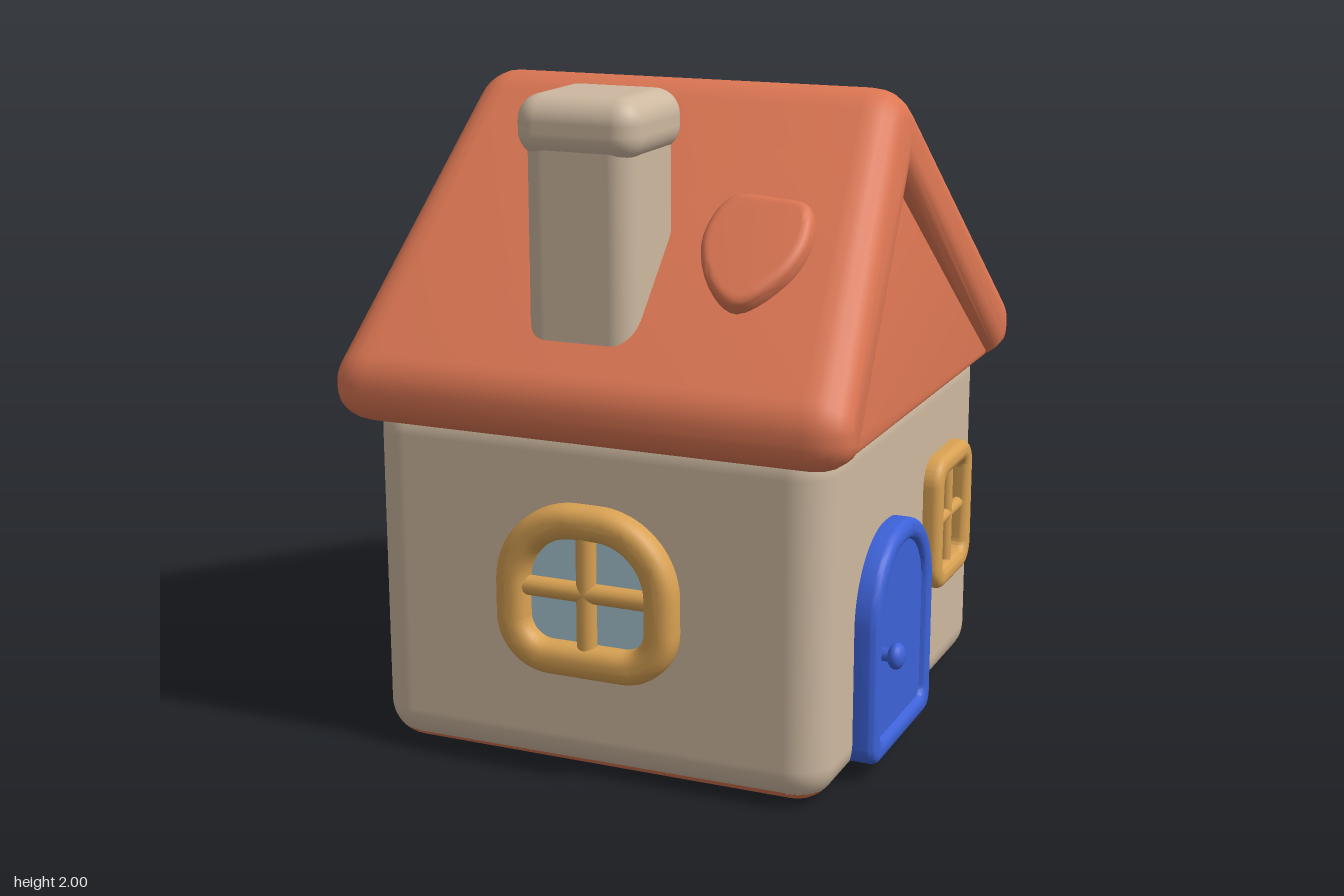
import * as THREE from 'three';
import { toCreasedNormals } from 'three/addons/utils/BufferGeometryUtils.js';
import { RoundedBoxGeometry } from 'three/addons/geometries/RoundedBoxGeometry.js';

const paint = (name, color) => {
  const m = new THREE.MeshStandardMaterial({ color });
  m.name = name;
  return m;
};
const clay = paint('terracotta', 0xdc7653);
const plaster = paint('plaster', 0xcdb8a0);
const wood = paint('honey wood', 0xd8a153);
const blue = paint('door blue', 0x3d62d8);
const glass = paint('pale glass', 0xaac6d2);

const CX = -0.02; // middle of the house body in x

function add(parent, name, geometry, material, x = 0, y = 0, z = 0) {
  const mesh = new THREE.Mesh(geometry, material);
  mesh.name = name;
  mesh.position.set(x, y, z);
  parent.add(mesh);
  return mesh;
}

// Centred rounded outline with separate top and bottom corner radii
function outline(w, h, rt, rb, Type = THREE.Shape) {
  const s = new Type(), x = w / 2, y = h / 2, q = Math.PI / 2;
  s.moveTo(-x + rb, -y);
  s.absarc(x - rb, -y + rb, rb, -q, 0);
  s.absarc(x - rt, y - rt, rt, 0, q);
  s.absarc(-x + rt, y - rt, rt, q, 2 * q);
  s.absarc(-x + rb, -y + rb, rb, 2 * q, 3 * q);
  return s;
}

// Polygon [x, y, cornerCut] with softened corners
function softPolygon(points) {
  const s = new THREE.Shape(), n = points.length;
  points.forEach(([x, y, r], i) => {
    const p = new THREE.Vector2(x, y);
    const toward = (q) => new THREE.Vector2(q[0], q[1]).sub(p).setLength(r).add(p);
    const a = r ? toward(points[(i + n - 1) % n]) : p;
    if (i) s.lineTo(a.x, a.y); else s.moveTo(a.x, a.y);
    if (r) {
      const b = toward(points[(i + 1) % n]);
      s.quadraticCurveTo(x, y, b.x, b.y);
    }
  });
  s.closePath();
  return s;
}

// Soft extrusion spanning z = 0 to depth
function puff(shape, depth, bevel, { offset = -bevel, round = bevel, segs = 10 } = {}) {
  const g = new THREE.ExtrudeGeometry(shape, {
    depth: depth - 2 * round, bevelThickness: round, bevelSize: bevel,
    bevelOffset: offset, bevelSegments: 5, curveSegments: segs,
  });
  return g.translate(0, 0, round);
}

// Ridge-wise extrusion whose half length shrinks with height
function ridgeSolid(shape, half, slope, bevel, options) {
  const g = puff(shape, 2 * half, bevel, options).translate(0, 0, -half).rotateY(Math.PI / 2);
  const p = g.attributes.position;
  for (let i = 0; i < p.count; i++) {
    const scale = 1 - slope * Math.max(0, p.getY(i) - 1.15) / half;
    p.setX(i, p.getX(i) * scale);
  }
  return toCreasedNormals(g, 0.75);
}

// Framed window with crossed bars; local z = 0 lies 0.04 inside the wall
function makeWindow(name, w, h, rt, rb, t, bar, depth, glazed) {
  const g = new THREE.Group();
  g.name = name;
  const ring = outline(w, h, rt, rb);
  const inner = [w - 2 * t, h - 2 * t, Math.max(rt - t, 0.03), Math.max(rb - t, 0.03)];
  ring.holes.push(outline(...inner, THREE.Path));
  add(g, 'windowFrame', toCreasedNormals(puff(ring, depth, t * 0.4), 0.7), wood);
  const z = depth - bar - 0.015;
  add(g, 'uprightBar', new THREE.CylinderGeometry(bar, bar, h - t, 12), wood, 0, 0, z);
  add(g, 'crossBar', new THREE.CylinderGeometry(bar, bar, w - t, 12).rotateZ(Math.PI / 2), wood, 0, 0, z);
  if (glazed) {
    const pane = outline(w - t, h - t, rt - t / 2, rb - t / 2);
    add(g, 'pane', new THREE.ExtrudeGeometry(pane, { depth: 0.008, bevelEnabled: false }), glass, 0, 0, 0.038);
  }
  return g;
}

export function createModel() {
  const house = new THREE.Group();
  house.name = 'cottage';

  // Walls, with the underside in roof colour
  const walls = new RoundedBoxGeometry(1.44, 1.1, 1.47, 6, 0.12).translate(0, 0.55, 0);
  const pos = walls.attributes.position, upper = [], lower = [];
  for (let i = 0; i < pos.count; i += 3) {
    const mid = (pos.getY(i) + pos.getY(i + 1) + pos.getY(i + 2)) / 3;
    (mid < 0.04 ? lower : upper).push(i, i + 1, i + 2);
  }
  walls.clearGroups();
  const order = new Uint32Array(pos.count);
  order.set(upper);
  order.set(lower, upper.length);
  walls.setIndex(new THREE.BufferAttribute(order, 1));
  walls.addGroup(0, upper.length, 0);
  walls.addGroup(upper.length, lower.length, 1);
  add(house, 'walls', walls, [plaster, clay], CX, 0, 0.005);

  // Roof: thick rounded chevron plus a recessed gable core
  const chevron = softPolygon([
    [0.755, 1.1, 0.018], [0.755, 1.16, 0.025], [0, 1.917, 0.07], [-0.755, 1.16, 0.025],
    [-0.755, 1.1, 0.018], [-0.713, 1.1, 0], [0, 1.813, 0], [0.713, 1.1, 0],
  ]);
  add(house, 'roof', ridgeSolid(chevron, 0.8, 0.15, 0.08, { offset: 0, round: 0.12, segs: 6 }), clay, CX);
  const core = softPolygon([[0.72, 1.022, 0], [0.72, 1.1, 0], [0, 1.81, 0], [-0.72, 1.1, 0], [-0.72, 1.022, 0]]);
  add(house, 'gable', ridgeSolid(core, 0.755, 0.19, 0.03), clay, CX);

  // Loose tile on each slope
  const tile = new THREE.Shape();
  tile.setFromPoints(new THREE.CatmullRomCurve3([
    [-0.16, 0.04], [-0.11, 0.18], [0.03, 0.185], [0.13, 0.165], [0.16, 0.05],
    [0.12, -0.08], [0.0, -0.19], [-0.1, -0.12],
  ].map(([x, y]) => new THREE.Vector3(x, y, 0)), true).getPoints(40).slice(0, -1).reverse());
  const tileGeometry = toCreasedNormals(puff(tile, 0.1, 0.03), 0.7);
  for (const side of [0, 1]) {
    const slope = new THREE.Group();
    slope.name = side ? 'backTile' : 'frontTile';
    slope.rotation.y = side * Math.PI;
    add(slope, 'tile', tileGeometry, clay, 0.385, 1.51, 0.455).rotation.x = -Math.PI / 4;
    house.add(slope);
  }

  // Chimney
  add(house, 'chimneyShaft', new RoundedBoxGeometry(0.34, 0.72, 0.335, 5, 0.07), plaster, -0.06, 1.56, 0.555);
  add(house, 'chimneyCap', new RoundedBoxGeometry(0.385, 0.18, 0.37, 5, 0.075), plaster, -0.06, 1.91, 0.555);

  // Large rounded windows, front and back
  for (const side of [1, -1]) {
    const w = makeWindow(side > 0 ? 'frontWindow' : 'backWindow', 0.57, 0.52, 0.25, 0.17, 0.1, 0.03, 0.105, true);
    w.position.set(CX, 0.58, 0.005 + side * 0.695);
    w.rotation.y = side > 0 ? 0 : Math.PI;
    house.add(w);
  }

  // Small square windows: one beside the door, two on the other side
  for (const [name, side, z] of [['rightWindow', 1, -0.33], ['leftWindowFront', -1, 0.34], ['leftWindowBack', -1, -0.34]]) {
    const w = makeWindow(name, 0.365, 0.43, 0.085, 0.085, 0.065, 0.02, 0.095, false);
    w.position.set(CX + side * 0.68, 0.595, z);
    w.rotation.y = side * Math.PI / 2;
    house.add(w);
  }

  // Arched door with raised surround and knob
  const door = new THREE.Group();
  door.name = 'door';
  door.position.set(0.66, 0.39, 0.215);
  door.rotation.y = Math.PI / 2;
  const rim = outline(0.54, 0.68, 0.255, 0.06);
  rim.holes.push(outline(0.41, 0.55, 0.19, 0.03, THREE.Path));
  add(door, 'doorSurround', toCreasedNormals(puff(rim, 0.11, 0.026), 0.7), blue);
  add(door, 'doorPanel', puff(outline(0.44, 0.58, 0.2, 0.04), 0.09, 0.01), blue);
  add(door, 'knobStem', new THREE.CylinderGeometry(0.02, 0.02, 0.06, 12).rotateX(Math.PI / 2), blue, -0.165, -0.015, 0.11);
  add(door, 'knob', new THREE.SphereGeometry(0.04, 20, 14).scale(1, 1, 0.65), blue, -0.165, -0.015, 0.135);
  house.add(door);

  return house;
}
